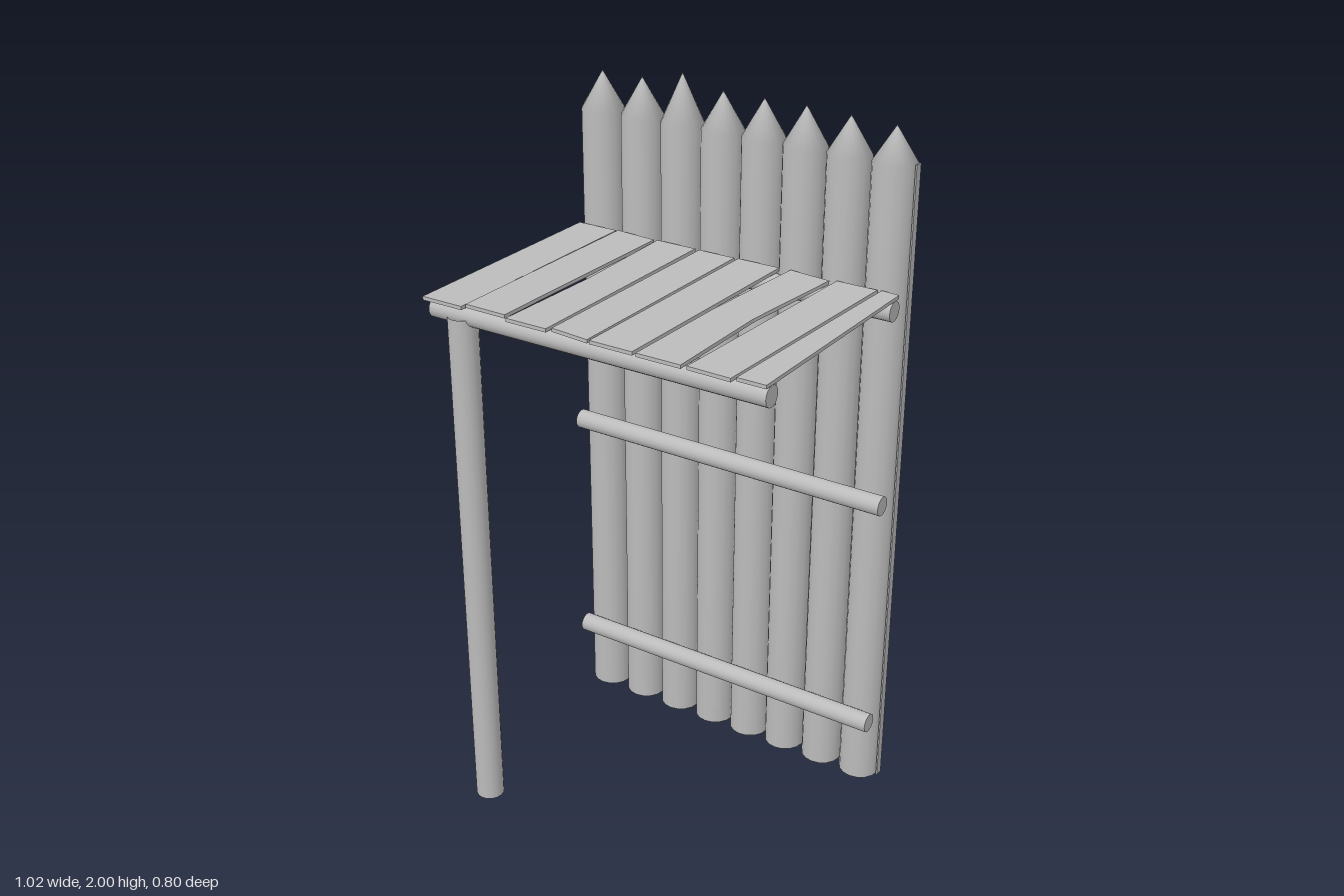
import * as THREE from 'three';

export function createModel() {
  const root = new THREE.Group();
  const wood = new THREE.MeshStandardMaterial({ color: 0xbbbbbb, side: THREE.DoubleSide });
  wood.name = 'plain grey wood';

  const add = (name, geometry, x, y, z) => {
    const mesh = new THREE.Mesh(geometry, wood);
    mesh.name = name;
    mesh.position.set(x, y, z);
    root.add(mesh);
    return mesh;
  };

  // Palisade: sharpened logs, open underneath
  const logs = [
    [-0.453, 1.97], [-0.322, 1.97], [-0.192, 2.0], [-0.064, 1.97],
    [0.062, 1.97], [0.187, 1.97], [0.316, 1.965], [0.445, 1.96],
  ];
  logs.forEach(([x, tip], i) => {
    const profile = [[0.06, 0], [0.06, 1.865], [0.0001, tip]];
    const geometry = new THREE.LatheGeometry(profile.map((p) => new THREE.Vector2(...p)), 16);
    add(`palisadeLog${i + 1}`, geometry, x, 0, -0.342);
  });

  // Narrow sliver closing the end of the palisade
  add('endSliver', new THREE.BoxGeometry(0.004, 1.87, 0.024), 0.509, 0.935, -0.342);

  // Horizontal rails: three on the wall, one under the front of the platform
  const rails = [['lowerRail', 0.23, -0.256], ['middleRail', 0.94, -0.256],
    ['upperRail', 1.504, -0.256], ['frontRail', 1.504, 0.358]];
  for (const [name, y, z] of rails) {
    const geometry = new THREE.CylinderGeometry(0.028, 0.028, 1.0, 16).rotateZ(Math.PI / 2);
    add(name, geometry, 0.01, y, z);
  }

  // Single support post, open underneath
  add('supportPost', new THREE.CylinderGeometry(0.04, 0.04, 1.5, 16, 1, true), -0.4, 0.75, 0.36);

  // Uneven platform planks, outlined as [x, z] corners
  const planks = [
    [[-0.497, -0.28], [-0.371, -0.28], [-0.371, 0.398], [-0.497, 0.398]],
    [[-0.363, -0.277], [-0.236, -0.267], [-0.242, 0.387], [-0.367, 0.385]],
    [[-0.231, -0.277], [-0.107, -0.277], [-0.107, 0.397], [-0.231, 0.397], [-0.22, 0.06]],
    [[-0.093, -0.275], [0.019, -0.275], [0.016, 0.396], [-0.098, 0.385]],
    [[0.03, -0.277], [0.157, -0.277], [0.148, 0.397], [0.023, 0.397]],
    [[0.19, -0.28], [0.313, -0.267], [0.283, 0.063], [0.286, 0.398], [0.159, 0.398], [0.165, 0.06]],
    [[0.33, -0.277], [0.448, -0.277], [0.423, 0.398], [0.301, 0.395]],
    [[0.459, -0.28], [0.511, -0.275], [0.511, 0.386], [0.431, 0.386]],
  ];
  planks.forEach((corners, i) => {
    const shape = new THREE.Shape(corners.map(([x, z]) => new THREE.Vector2(x, -z)));
    const geometry = new THREE.ExtrudeGeometry(shape, { depth: 0.01, bevelEnabled: false });
    geometry.rotateX(-Math.PI / 2);
    add(`platformPlank${i + 1}`, geometry, 0, i === 1 ? 1.536 : 1.533, 0);
  });

  return root;
}
